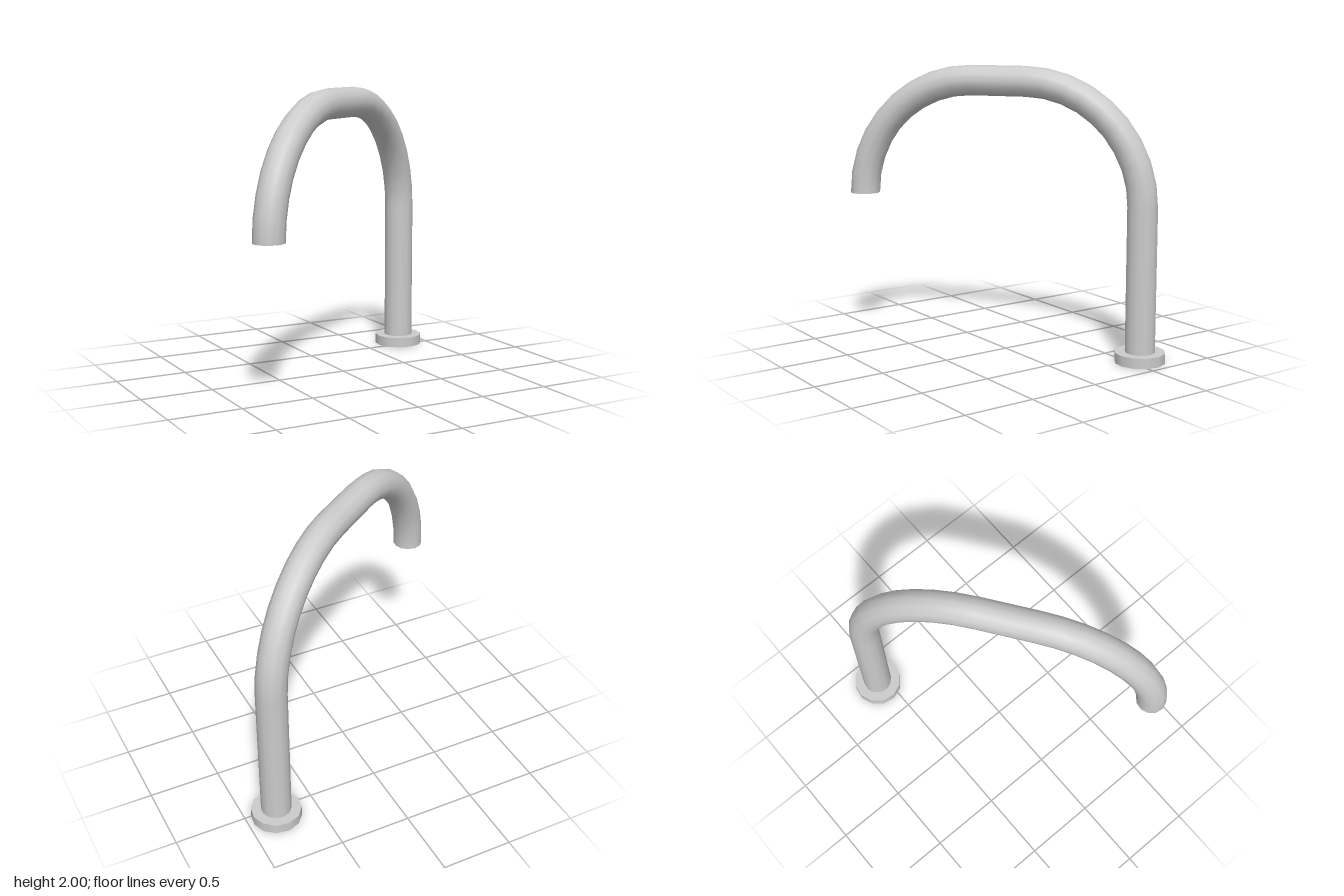
import * as THREE from 'three';

const SIDES = 12;
const PIPE_R = 0.105;
const BEND_R = 0.825;
const HALF_FLAT = 0.196; // half of the straight run at the top
const BEND_Y = 1.07; // height where the bends begin and end
const FLANGE_R = 0.175;
const FLANGE_H = 0.072;
const POST_X = HALF_FLAT + BEND_R;

// Sweeps a round section along the stations { x, y, a }, a being the outward angle
function sweep(stations) {
  const pos = [], normal = [], index = [];
  const row = SIDES + 1;
  stations.forEach(({ x, y, a }, k) => {
    for (let j = 0; j <= SIDES; j++) {
      const t = (j / SIDES) * Math.PI * 2;
      const n = [Math.cos(t) * Math.cos(a), Math.cos(t) * Math.sin(a), Math.sin(t)];
      normal.push(...n);
      pos.push(x + n[0] * PIPE_R, y + n[1] * PIPE_R, n[2] * PIPE_R);
      if (k > 0 && j < SIDES) {
        const p = (k - 1) * row + j, q = p + row;
        index.push(p, q, p + 1, p + 1, q, q + 1);
      }
    }
  });
  const geo = new THREE.BufferGeometry();
  geo.setAttribute('position', new THREE.Float32BufferAttribute(pos, 3));
  geo.setAttribute('normal', new THREE.Float32BufferAttribute(normal, 3));
  geo.setIndex(index);
  return geo;
}

export function createModel() {
  const model = new THREE.Group();
  model.name = 'faucet';
  const faucet = new THREE.Group();
  faucet.name = 'swivelledFaucet';
  faucet.position.set(-0.0375, 0, 0.0325);
  faucet.rotation.y = 0.6255;
  model.add(faucet);

  const material = new THREE.MeshStandardMaterial({ color: 0xcccccc, side: THREE.DoubleSide });
  const add = (name, geo, x, y, parent = faucet) => {
    const mesh = new THREE.Mesh(geo, material);
    mesh.name = name;
    mesh.position.set(x, y, 0);
    parent.add(mesh);
  };

  // Pipe: straight post, bend, flat run, second bend down to the outlet
  const stations = [{ x: POST_X, y: FLANGE_H, a: 0 }];
  const steps = 9;
  for (const side of [0, 1]) {
    for (let i = 0; i <= steps; i++) {
      const a = (side + i / steps) * Math.PI / 2;
      stations.push({
        x: (side ? -HALF_FLAT : HALF_FLAT) + BEND_R * Math.cos(a),
        y: BEND_Y + BEND_R * Math.sin(a),
        a,
      });
    }
  }
  add('pipe', sweep(stations), 0, 0);

  // Closed outlet end
  add('outletCap', new THREE.CircleGeometry(PIPE_R, SIDES).rotateX(Math.PI / 2), -POST_X, BEND_Y);

  // Thin mounting flange, hollow underneath
  const flange = new THREE.Group();
  flange.name = 'flange';
  faucet.add(flange);
  add('flangeWall', new THREE.CylinderGeometry(FLANGE_R, FLANGE_R, FLANGE_H, SIDES, 1, true), POST_X, FLANGE_H / 2, flange);
  add('flangeTop', new THREE.RingGeometry(PIPE_R, FLANGE_R, SIDES, 1).rotateX(-Math.PI / 2), POST_X, FLANGE_H, flange);

  return model;
}
